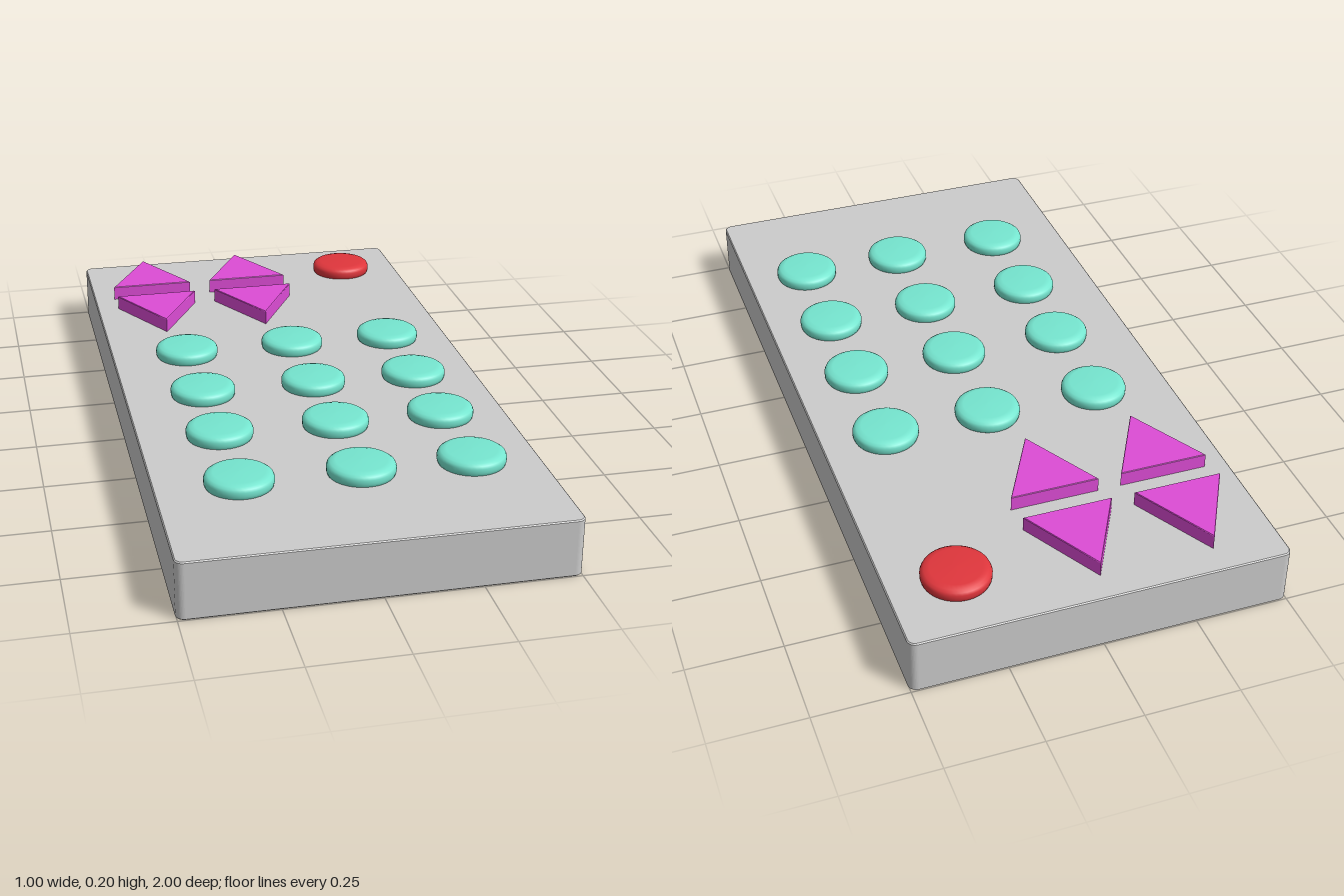
import * as THREE from 'three';

const material = (color) => new THREE.MeshStandardMaterial({ color });
const BODY_HEIGHT = 0.155;

// Flat outline in x/z, extruded upwards from y = 0 with a small bevel
function extrudeUp(shape, height, bevel, curveSegments = 6) {
  const geometry = new THREE.ExtrudeGeometry(shape, {
    depth: height - 2 * bevel, curveSegments,
    bevelEnabled: true, bevelSize: bevel, bevelThickness: bevel,
    bevelOffset: -bevel, bevelSegments: 1,
  });
  geometry.translate(0, 0, bevel);
  geometry.rotateX(-Math.PI / 2);
  return geometry;
}

function roundedRect(w, d, r) {
  const s = new THREE.Shape();
  s.absarc(w - r, d - r, r, 0, Math.PI / 2);
  s.absarc(-w + r, d - r, r, Math.PI / 2, Math.PI);
  s.absarc(-w + r, -d + r, r, Math.PI, Math.PI * 1.5);
  s.absarc(w - r, -d + r, r, Math.PI * 1.5, Math.PI * 2);
  s.closePath();
  return s;
}

export function createModel() {
  const group = new THREE.Group();
  const add = (name, geometry, mat, x = 0, y = 0, z = 0) => {
    const mesh = new THREE.Mesh(geometry, mat);
    mesh.name = name;
    mesh.position.set(x, y, z);
    group.add(mesh);
    return mesh;
  };

  // Slab body with softly rounded corners
  add('body', extrudeUp(roundedRect(0.502, 1, 0.022), BODY_HEIGHT, 0.003), material(0xcccccc));

  // Round buttons: pillowed discs
  const profile = [
    [0, -0.005], [0.086, -0.005], [0.09, 0.008], [0.09, 0.019], [0.087, 0.026],
    [0.08, 0.031], [0.066, 0.035], [0, 0.036],
  ].map(([r, y]) => new THREE.Vector2(r, y));
  const disc = new THREE.LatheGeometry(profile, 40);
  const teal = material(0x76e6d0);
  for (const z of [-0.21, 0.08, 0.352, 0.638]) {
    for (const x of [-0.285, 0.03, 0.322]) add('keypadButton', disc, teal, x, BODY_HEIGHT, z);
  }
  add('powerButton', disc, material(0xe0363c), 0.322, BODY_HEIGHT, -0.81);

  // Triangular arrow buttons, two pointing to the back and two to the front
  const triangle = new THREE.Shape([
    new THREE.Vector2(-0.121, -0.111), new THREE.Vector2(0.121, -0.111), new THREE.Vector2(0, 0.111),
  ]);
  const arrow = extrudeUp(triangle, 0.046, 0.002);
  const magenta = material(0xdd4cd6);
  for (const x of [-0.32, -0.015]) {
    add('upArrowButton', arrow, magenta, x, BODY_HEIGHT - 0.005, -0.81);
    add('downArrowButton', arrow, magenta, x + 0.003, BODY_HEIGHT - 0.005, -0.506).rotation.y = Math.PI;
  }
  return group;
}
